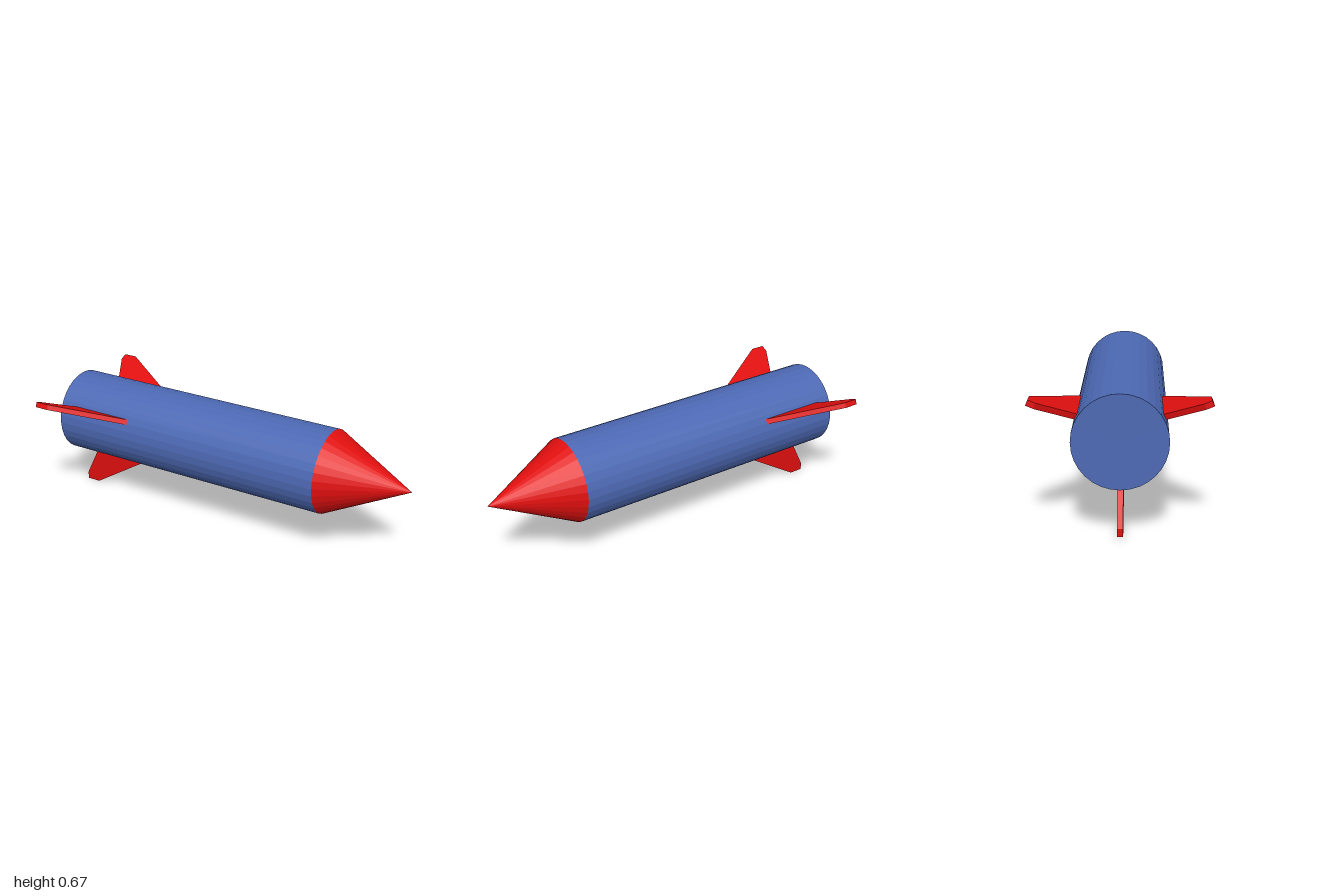
import * as THREE from 'three';

export function createModel() {
  const model = new THREE.Group();
  model.name = 'rocket';
  const blue = new THREE.MeshStandardMaterial({ color: 0x4d69b4, flatShading: true });
  blue.name = 'blue paint';
  const red = new THREE.MeshStandardMaterial({ color: 0xe00f0f, flatShading: true });
  red.name = 'red paint';

  const axisY = 0.445, radius = 0.222, sides = 32;
  const tail = -1, shoulder = 0.555, tip = 0.995;

  function add(name, geometry, material, x, y) {
    const mesh = new THREE.Mesh(geometry, material);
    mesh.name = name;
    mesh.position.set(x, y, 0);
    model.add(mesh);
    return mesh;
  }

  // Fuselage and nose cone, lying along x
  const tube = new THREE.CylinderGeometry(radius, radius, shoulder - tail, sides).rotateZ(-Math.PI / 2);
  add('body', tube, blue, (tail + shoulder) / 2, axisY);
  const cone = new THREE.ConeGeometry(radius, tip - shoulder, sides).rotateZ(-Math.PI / 2);
  add('noseCone', cone, red, (shoulder + tip) / 2, axisY);

  // Swept fin profile, hanging below the axis with its root inside the body
  const profile = new THREE.Shape([
    [-0.895, -0.195], [-1, -0.405], [-1, -0.445], [-0.925, -0.445], [-0.525, -0.195],
  ].map(([x, y]) => new THREE.Vector2(x, y)));
  const thickness = 0.028;
  const finGeometry = new THREE.ExtrudeGeometry(profile, { depth: thickness, bevelEnabled: false });
  finGeometry.translate(0, 0, -thickness / 2);

  // One fin below, two raised to the sides
  const raised = THREE.MathUtils.degToRad(112.5);
  add('bottomFin', finGeometry, red, 0, axisY);
  add('frontFin', finGeometry, red, 0, axisY + 0.01).rotation.x = -raised;
  add('backFin', finGeometry, red, 0, axisY + 0.01).rotation.x = raised;

  return model;
}
